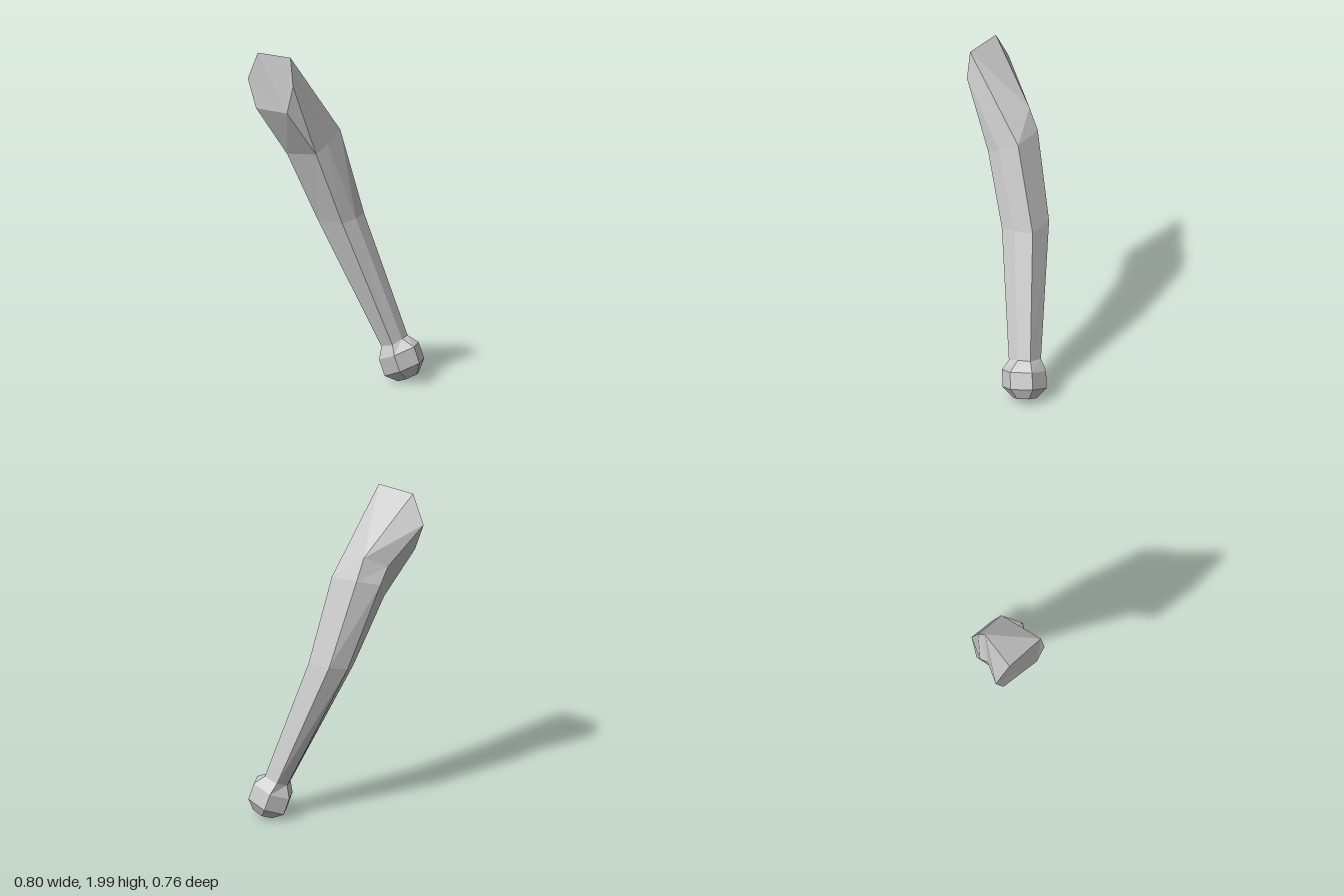
import * as THREE from 'three';

const SIDES = 6;
const material = new THREE.MeshStandardMaterial({ color: 0xcccccc, flatShading: true });

// Skin a stack of six-sided rings. flips lists "segment,side" quads split on the other diagonal.
function loft(name, rings, { capBottom = false, capTop = false, flips = [] } = {}) {
  const pos = [];
  const tri = (a, b, c) => {
    const [p, q, r] = [a, b, c].map(v => new THREE.Vector3(...v));
    if (q.clone().sub(p).cross(r.clone().sub(p)).length() > 1e-7) pos.push(...a, ...b, ...c);
  };
  for (let s = 0; s < rings.length - 1; s++) {
    const lo = rings[s], hi = rings[s + 1];
    for (let i = 0; i < SIDES; i++) {
      const j = (i + 1) % SIDES;
      if (flips.includes(`${s},${i}`)) {
        tri(lo[i], lo[j], hi[i]);
        tri(lo[j], hi[j], hi[i]);
      } else {
        tri(lo[i], lo[j], hi[j]);
        tri(lo[i], hi[j], hi[i]);
      }
    }
  }
  const first = rings[0], last = rings[rings.length - 1];
  for (let i = 1; i < SIDES - 1; i++) {
    if (capBottom) tri(first[0], first[i + 1], first[i]);
    if (capTop) tri(last[0], last[i], last[i + 1]);
  }
  const geometry = new THREE.BufferGeometry();
  geometry.setAttribute('position', new THREE.Float32BufferAttribute(pos, 3));
  geometry.computeVertexNormals();
  const mesh = new THREE.Mesh(geometry, material);
  mesh.name = name;
  return mesh;
}

// Regular hexagon square to the leaning handle axis
const axis = new THREE.Vector3(-0.24, 0.925, -0.296).normalize();
const front = new THREE.Vector3(0, 0.3, 0.954).normalize();
const side = axis.clone().cross(front);
function hexRing(center, radius) {
  return Array.from({ length: SIDES }, (_, i) => {
    const a = (i - 1) * Math.PI / 3;
    return new THREE.Vector3(...center)
      .addScaledVector(front, radius * Math.cos(a))
      .addScaledVector(side, radius * Math.sin(a)).toArray();
  });
}

export function createModel() {
  const group = new THREE.Group();
  group.name = 'bentClub';

  // Rings start at the front -x corner and run round by the front to +x and the back
  const neck = [[0.175, 0.235, 0.262], [0.25, 0.265, 0.268], [0.325, 0.273, 0.24],
    [0.325, 0.25, 0.145], [0.25, 0.222, 0.13], [0.175, 0.218, 0.17]];
  const middle = [[-0.05, 0.97, 0.068], [0.055, 0.99, 0.076], [0.165, 1.0, 0.037],
    [0.157, 1.015, -0.12], [0.05, 0.98, -0.168], [-0.067, 0.965, -0.115]];
  const bend = [[-0.21, 1.4, 0.007], [-0.12, 1.45, 0.014], [0.01, 1.52, -0.01],
    [0, 1.54, -0.198], [-0.12, 1.5, -0.279], [-0.235, 1.38, -0.21]];
  // Only the two back corners step upward, forming the shoulder
  const shoulder = [bend[0], bend[1], bend[2],
    [-0.065, 1.67, -0.198], [-0.19, 1.6, -0.279], bend[5]];
  // Upright end face
  const tip = [[-0.387, 1.66, -0.06], [-0.39, 1.83, -0.007], [-0.387, 2, -0.032],
    [-0.406, 2, -0.285], [-0.393, 1.83, -0.38], [-0.387, 1.66, -0.317]];

  group.add(loft('shaft', [neck, middle, bend, shoulder, tip],
    { capTop: true, flips: ['3,2'] }));

  // Faceted knob at the foot
  group.add(loft('pommel', [
    hexRing([0.305, 0.03, 0.268], 0.07),
    hexRing([0.288, 0.087, 0.25], 0.132),
    hexRing([0.264, 0.185, 0.227], 0.132),
    neck,
  ], { capBottom: true }));

  return group;
}
